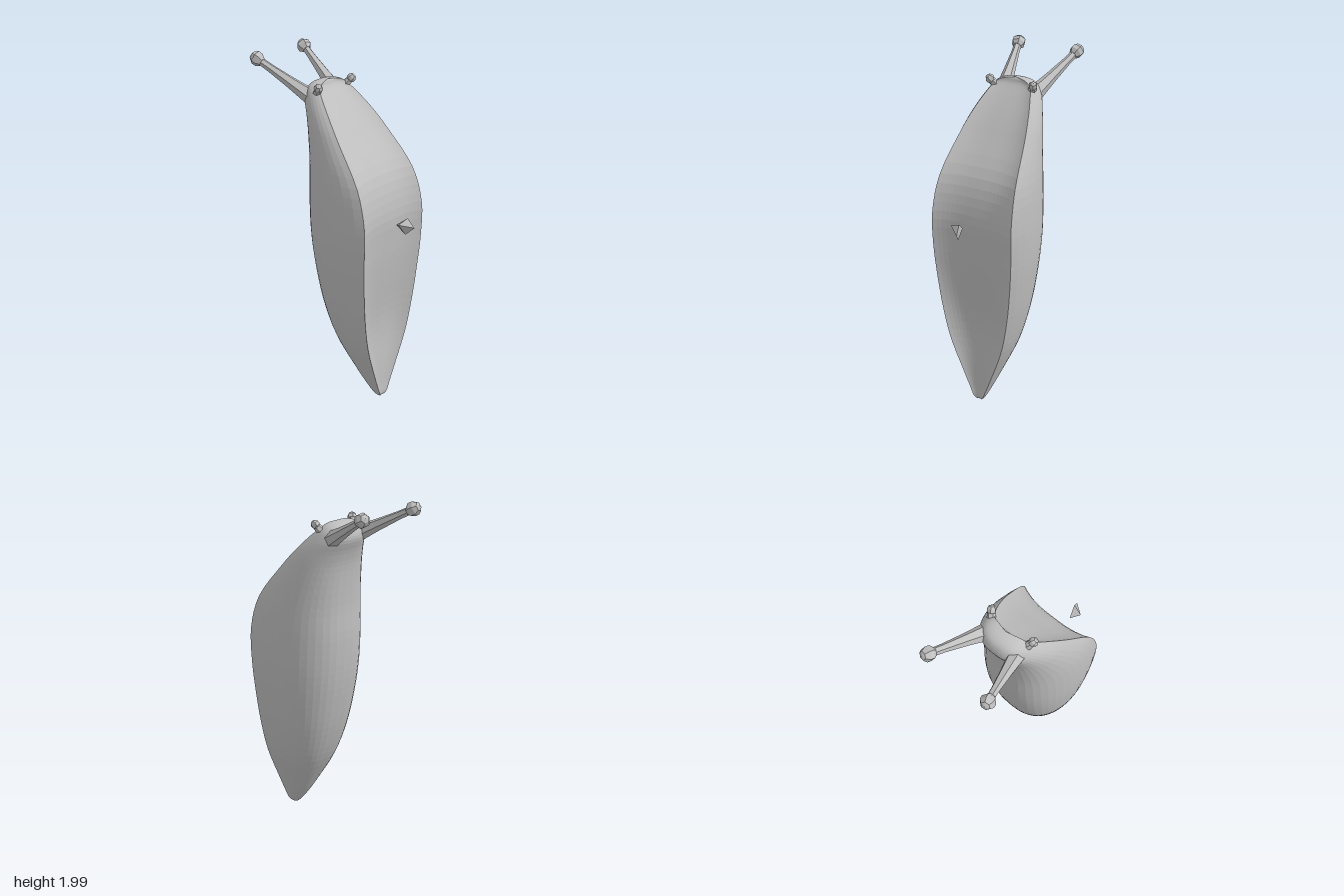
import * as THREE from 'three';
import { ConvexGeometry } from 'three/addons/geometries/ConvexGeometry.js';

const grey = new THREE.MeshStandardMaterial({ color: 0xc0c0c0, flatShading: true });
grey.name = 'slugGrey';

// Body stations, tail to head: y, half width, z of the foot rim, z of the back
const stations = [
  [0.005, 0, 0.285, 0.285], [0.03, 0.03, 0.312, 0.245], [0.1, 0.064, 0.316, 0.19],
  [0.2, 0.108, 0.322, 0.125], [0.4, 0.19, 0.335, 0.01], [0.6, 0.237, 0.345, -0.065],
  [0.8, 0.265, 0.355, -0.112], [1.0, 0.281, 0.365, -0.143], [1.2, 0.281, 0.363, -0.155],
  [1.4, 0.265, 0.3, -0.153], [1.6, 0.225, 0.145, -0.165], [1.7, 0.195, 0.06, -0.185],
  [1.78, 0.16, -0.015, -0.212], [1.835, 0.125, -0.07, -0.198], [1.862, 0.078, -0.09, -0.165],
  [1.872, 0, -0.11, -0.11],
];
const spline = (k) => new THREE.CatmullRomCurve3(
  stations.map((s) => new THREE.Vector3(s[1], s[0], s[k])), false, 'catmullrom');
const rimCurve = spline(2), backCurve = spline(3);
const ROWS = 60;

// Skin over the stations; point(station, u) gives x and z across one row
function loft(cols, point) {
  const pos = [], index = [];
  for (let j = 0; j <= ROWS; j++) {
    const f = rimCurve.getPoint(j / ROWS), b = backCurve.getPoint(j / ROWS);
    for (let i = 0; i <= cols; i++) {
      const [x, z] = point({ y: f.y, w: Math.max(f.x, 0), front: f.z, back: b.z }, i / cols);
      pos.push(x, f.y, z);
    }
  }
  for (let j = 0; j < ROWS; j++) {
    for (let i = 0; i < cols; i++) {
      const a = j * (cols + 1) + i, c = a + cols + 1;
      index.push(a, a + 1, c, a + 1, c + 1, c);
    }
  }
  const g = new THREE.BufferGeometry();
  g.setAttribute('position', new THREE.Float32BufferAttribute(pos, 3));
  g.setIndex(index);
  g.computeVertexNormals();
  return g;
}

const TUCK = 0.47; // angle by which the flanks curl in towards the rim

// Rounded back and flanks
function backPoint({ w, front, back }, u) {
  const a = -TUCK + u * (Math.PI + 2 * TUCK);
  const mid = front - 0.33 * (front - back);
  const s = Math.sin(a), c = Math.cos(a);
  const x = s < 0 ? w * c : w * Math.sign(c) * Math.pow(Math.abs(c), 0.8);
  const z = s < 0 ? mid - (front - mid) * s / Math.sin(TUCK) : mid - (mid - back) * s;
  return [x, z];
}

// Foot sole, dished between its rims and deepest above the tail
function footPoint({ y, w, front }, u) {
  const v = 2 * u - 1;
  const depth = 0.15 * w * (1 + 0.8 * Math.exp(-(((y - 0.45) / 0.3) ** 2)));
  return [v * w * Math.cos(TUCK), front - depth * (1 - Math.abs(v) ** 3)];
}

// Faceted stalk with a flared foot between two points, ending in a knob
function stalk(name, from, to, r0, r1, knob) {
  const group = new THREE.Group();
  group.name = name;
  const a = new THREE.Vector3(...from), b = new THREE.Vector3(...to);
  const dir = b.clone().sub(a), len = dir.length();
  const profile = [[r0, 0], [r0 * 0.72, len * 0.35], [r1 * 1.1, len * 0.75], [r1, len]];
  const stem = new THREE.Mesh(
    new THREE.LatheGeometry(profile.map((p) => new THREE.Vector2(...p)), 6), grey);
  stem.name = name + 'Stem';
  stem.position.copy(a);
  stem.quaternion.setFromUnitVectors(new THREE.Vector3(0, 1, 0), dir.normalize());
  const tip = new THREE.Mesh(new THREE.SphereGeometry(knob, 6, 5), grey);
  tip.name = name + 'Tip';
  tip.position.copy(b);
  tip.quaternion.copy(stem.quaternion);
  group.add(stem, tip);
  return group;
}

export function createModel() {
  const model = new THREE.Group();
  model.name = 'slug';
  const add = (name, geometry) => {
    const mesh = new THREE.Mesh(geometry, grey);
    mesh.name = name;
    model.add(mesh);
  };
  add('back', loft(28, backPoint));
  add('foot', loft(20, footPoint));

  // Eye stalks and small feelers, one of each per side
  for (const [side, s] of [['left', 1], ['right', -1]]) {
    model.add(stalk(side + 'EyeStalk', [s * 0.1, 1.785, -0.15], [s * 0.188, 1.957, -0.462], 0.046, 0.021, 0.042));
    model.add(stalk(side + 'Feeler', [s * 0.105, 1.8, -0.1], [s * 0.135, 1.855, -0.06], 0.034, 0.02, 0.026));
  }

  // Small loose chip floating before the foot
  const chip = [[0, 1.16, 0.505], [-0.01, 1.21, 0.465], [-0.07, 1.185, 0.45],
    [-0.02, 1.115, 0.46], [-0.028, 1.16, 0.403]];
  add('chip', new ConvexGeometry(chip.map((p) => new THREE.Vector3(...p))));
  return model;
}
